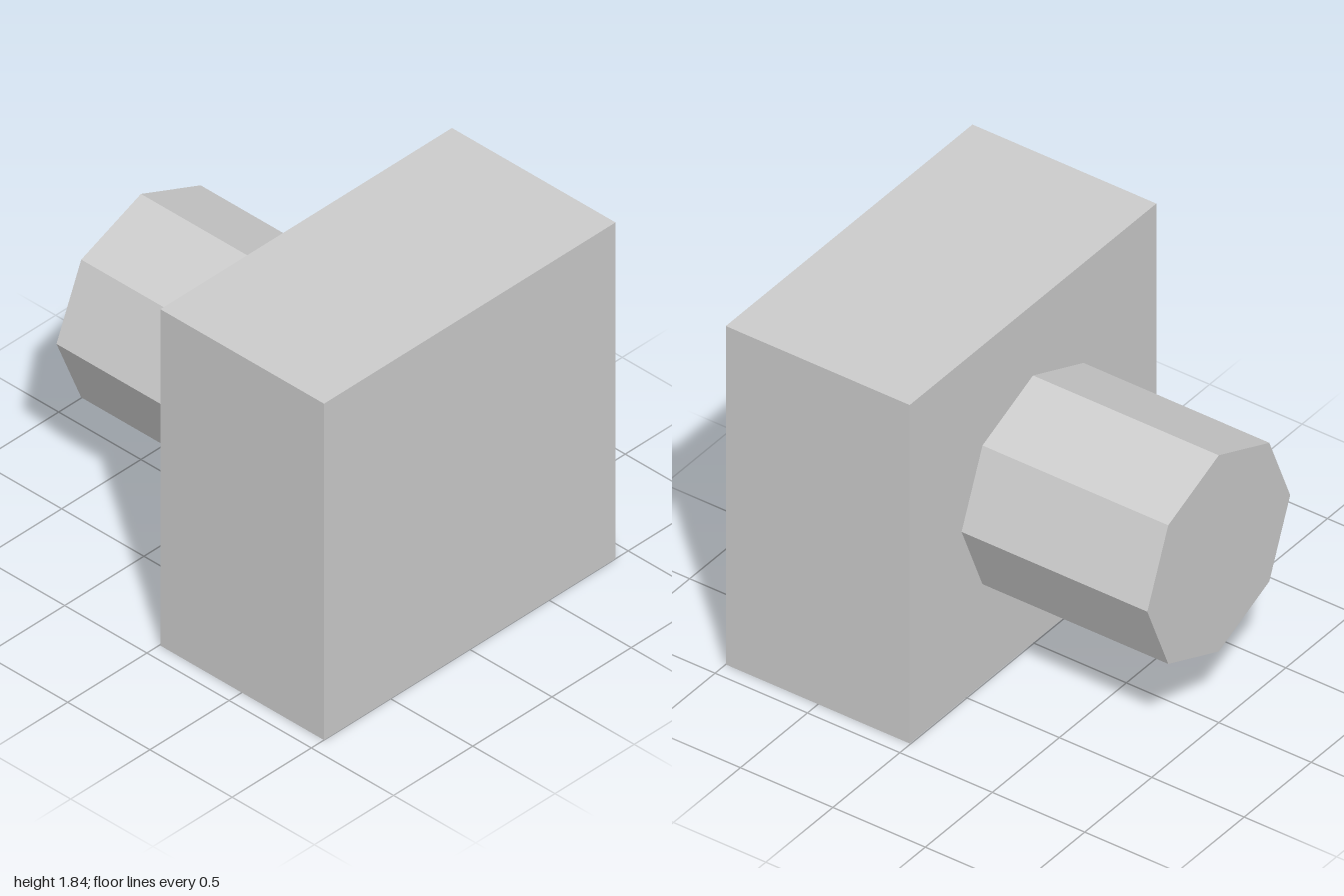
import * as THREE from 'three';

export function createModel() {
  const model = new THREE.Group();
  const grey = new THREE.MeshStandardMaterial({ color: 0xcccccc, flatShading: true });
  grey.name = 'light grey';

  const centreY = 0.92;
  const jointZ = 0.005; // where the shaft meets the block

  // Square block at the front
  const depth = 1 - jointZ;
  const block = new THREE.Mesh(new THREE.BoxGeometry(1.84, 1.84, depth), grey);
  block.name = 'block';
  block.position.set(0, centreY, jointZ + depth / 2);
  model.add(block);

  // Octagonal shaft at the back, one corner pointing up
  const length = 1 + jointZ;
  const shaftGeometry = new THREE.CylinderGeometry(0.533, 0.533, length, 8);
  shaftGeometry.rotateX(Math.PI / 2);
  const shaft = new THREE.Mesh(shaftGeometry, grey);
  shaft.name = 'shaft';
  shaft.position.set(0, centreY, jointZ - length / 2);
  model.add(shaft);

  return model;
}
